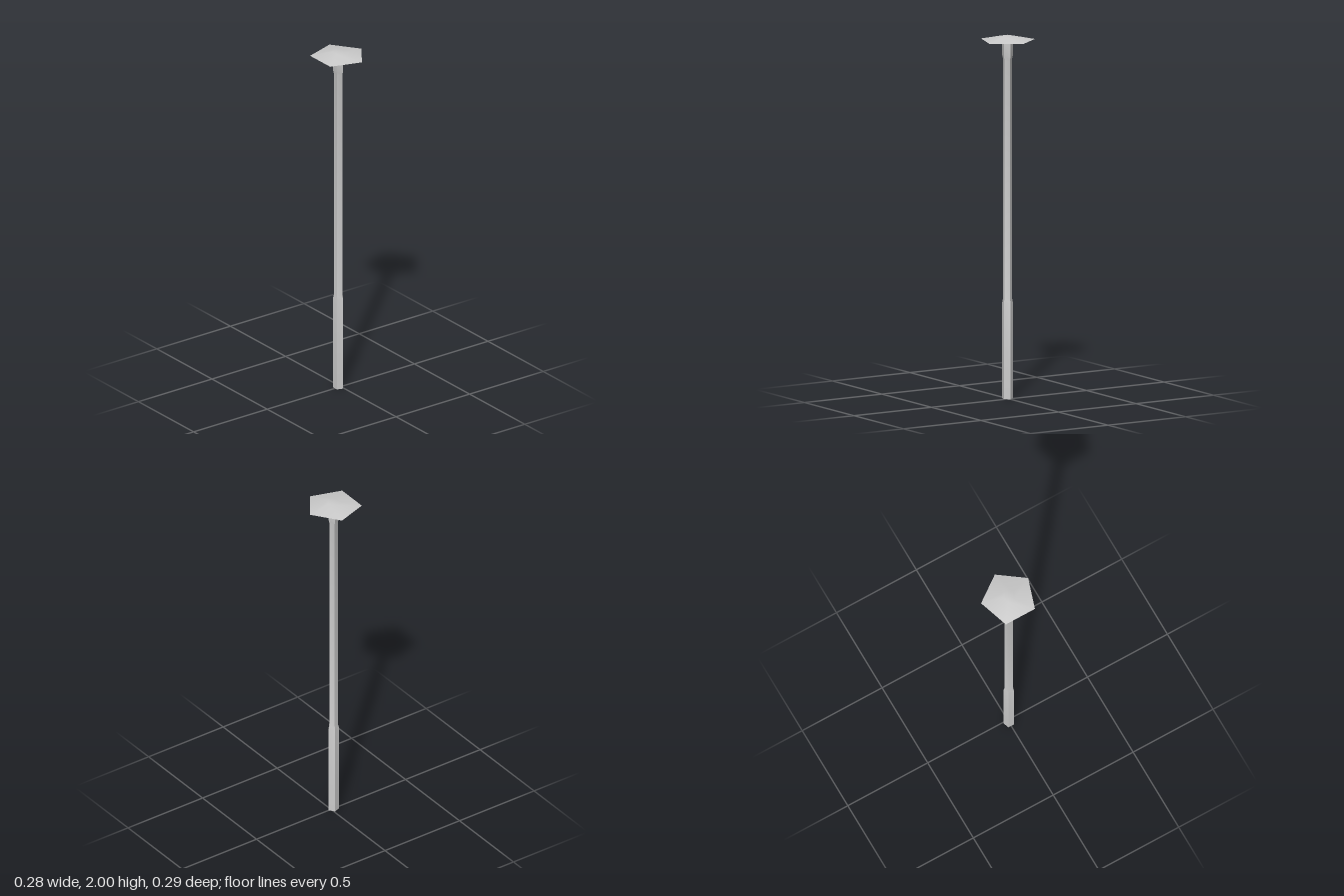
import * as THREE from 'three';
import { toCreasedNormals } from 'three/addons/utils/BufferGeometryUtils.js';

const SIDES = 5;
const AXIS_X = -0.015; // the pentagon is off its bounding-box centre

// Five-sided solid from [radius, height] pairs, with one corner towards +x
function pentagonSolid(name, profile, crease) {
  const points = profile.map(([r, y]) => new THREE.Vector2(r, y));
  const geometry = new THREE.LatheGeometry(points, SIDES);
  geometry.rotateY(Math.PI / 2);
  const material = new THREE.MeshStandardMaterial({ color: 0xcccccc });
  const mesh = new THREE.Mesh(toCreasedNormals(geometry, crease), material);
  mesh.name = name;
  mesh.position.x = AXIS_X;
  return mesh;
}

export function createModel() {
  const group = new THREE.Group();
  group.name = 'lampPost';

  // Thick foot, slim shaft and a collar under the cap
  group.add(pentagonSolid('post', [
    [0, 0], [0.0305, 0], [0.0305, 0.53], [0.025, 0.555],
    [0.025, 1.868], [0.0305, 1.89], [0.0305, 1.98], [0, 1.98],
  ], 0.6));

  // Shallow cap with a small flat top
  group.add(pentagonSolid('cap', [
    [0, 1.976], [0.155, 1.976], [0.035, 2], [0, 2],
  ], 0.6));

  return group;
}
